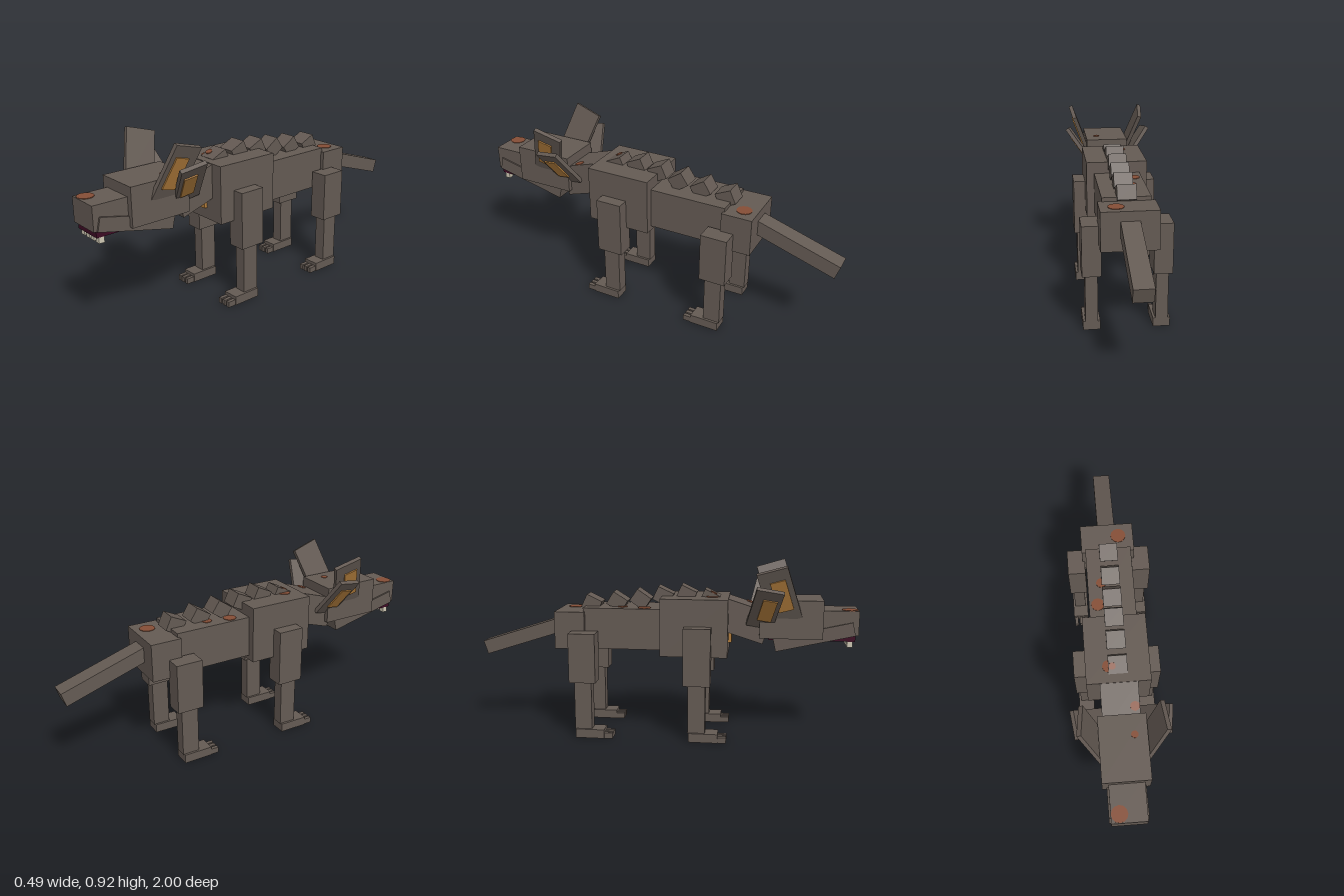
import * as THREE from 'three';

const mat = (name, color) => {
  const m = new THREE.MeshStandardMaterial({ color });
  m.name = name;
  return m;
};

export function createModel() {
  const fur = mat('fur brown', 0x645a53);
  const rust = mat('rust patch', 0x854e36);
  const amber = mat('inner ear amber', 0xb27d3c);
  const gumRed = mat('gum dark red', 0x3d0c24);
  const bone = mat('tooth bone', 0xcfc8b4);

  const model = new THREE.Group();
  model.name = 'beast';

  // Box from size and centre, tilted about x
  const box = (name, size, pos, material = fur, tilt = 0, parent = model) => {
    const m = new THREE.Mesh(new THREE.BoxGeometry(...size), material);
    m.name = name;
    m.position.set(...pos);
    m.rotation.x = tilt;
    parent.add(m);
    return m;
  };
  // Box from its limits on each axis
  const span = (name, x, y, z, material = fur, parent = model) =>
    box(name, [x[1] - x[0], y[1] - y[0], z[1] - z[0]],
      [(x[0] + x[1]) / 2, (y[0] + y[1]) / 2, (z[0] + z[1]) / 2], material, 0, parent);
  // Thin round patch lying on an upward face
  const patch = (r, pos, parent = model) => {
    const m = new THREE.Mesh(new THREE.CylinderGeometry(r, r, 0.006, 12), rust);
    m.name = 'furPatch';
    m.position.set(...pos);
    parent.add(m);
  };

  // Body
  span('chest', [-0.16, 0.16], [0.44, 0.74], [-0.01, 0.34]);
  span('belly', [-0.12, 0.12], [0.465, 0.68], [-0.42, 0]);
  span('hips', [-0.14, 0.14], [0.463, 0.66], [-0.57, -0.41]);
  span('throatTag', [-0.05, 0.05], [0.5, 0.56], [0.335, 0.357], amber);
  box('tail', [0.093, 0.075, 0.5], [0, 0.514, -0.75], fur, -0.311);
  const neck = box('neck', [0.188, 0.167, 0.24], [0, 0.621, 0.428], fur, 0.305);
  patch(0.024, [0.07, 0.084, 0.0], neck);

  // Back spikes, each hung from its raised rear corner: z, y, tilt
  [[0.215, 0.78, 0.44], [0.093, 0.8, 0.44], [-0.03, 0.79, 0.44],
    [-0.142, 0.774, 0.6], [-0.27, 0.758, 0.56], [-0.414, 0.742, 0.44]].forEach(([z, y, tilt], i) => {
    const g = new THREE.Group();
    g.name = 'backSpike';
    g.position.set(0, y, z);
    g.rotation.x = tilt;
    box('spikeBlock', [0.094, 0.075, 0.09], [0, -0.0375, 0.045], fur, 0, g);
    if (i === 0) patch(0.018, [-0.028, 0.001, 0.05], g);
    model.add(g);
  });

  // Head, muzzle and slanted jaw
  span('head', [-0.118, 0.118], [0.54, 0.738], [0.5, 0.82]);
  span('snout', [-0.087, 0.087], [0.56, 0.685], [0.8, 1]);
  span('gum', [-0.08, 0.08], [0.527, 0.562], [0.545, 0.985], gumRed);
  box('jaw', [0.192, 0.07, 0.41], [0, 0.548, 0.777], fur, -0.226);
  for (const x of [-0.065, -0.021, 0.021, 0.065])
    span('tooth', [x - 0.014, x + 0.014], [0.497, 0.53], [0.945, 0.973], bone);

  // Fur patches on the top faces
  patch(0.04, [0.06, 0.66, -0.5]);
  patch(0.034, [-0.075, 0.68, -0.1]);
  patch(0.026, [-0.05, 0.68, -0.22]);
  patch(0.032, [-0.045, 0.74, 0.255]);
  patch(0.018, [0.055, 0.738, 0.6]);
  patch(0.041, [-0.045, 0.685, 0.957]);

  // Ear plate with an amber inlay on its outer face
  const ear = (name, s, pos, splay, tilt, size, inlay) => {
    const g = new THREE.Group();
    g.name = name;
    g.position.set(s * pos[0], pos[1], pos[2]);
    g.rotation.set(tilt, 0, -s * splay, 'ZYX');
    box('earPlate', size, [0, 0, 0], fur, 0, g);
    box('earInlay', [0.008, ...inlay], [s * (size[0] / 2 + 0.003), 0, 0.012], amber, 0, g);
    model.add(g);
  };

  // Leg with upper part, shin, foot and three toes
  const leg = (name, s, z, top) => {
    const g = new THREE.Group();
    g.name = name;
    g.position.set(s * 0.175, 0, z);
    span('upperLeg', [-0.047, 0.047], [0.3, top], [-0.07, 0.07], fur, g);
    span('shin', [-0.031, 0.031], [0.045, 0.302], [-0.045, 0.045], fur, g);
    span('foot', [-0.043, 0.043], [0, 0.047], [-0.04, 0.112], fur, g);
    for (const x of [-0.029, 0, 0.029])
      span('toe', [x - 0.01, x + 0.01], [0, 0.03], [0.1, 0.156], fur, g);
    model.add(g);
  };

  for (const s of [-1, 1]) {
    ear('largeEar', s, [0.15, 0.766, 0.596], 0.349, -0.297, [0.022, 0.29, 0.157], [0.17, 0.078]);
    ear('smallEar', s, [0.157, 0.7, 0.524], 0.611, 0.21, [0.022, 0.25, 0.138], [0.14, 0.072]);
    leg('frontLeg', s, 0.187, 0.6);
    leg('hindLeg', s, -0.409, 0.56);
  }
  return model;
}
